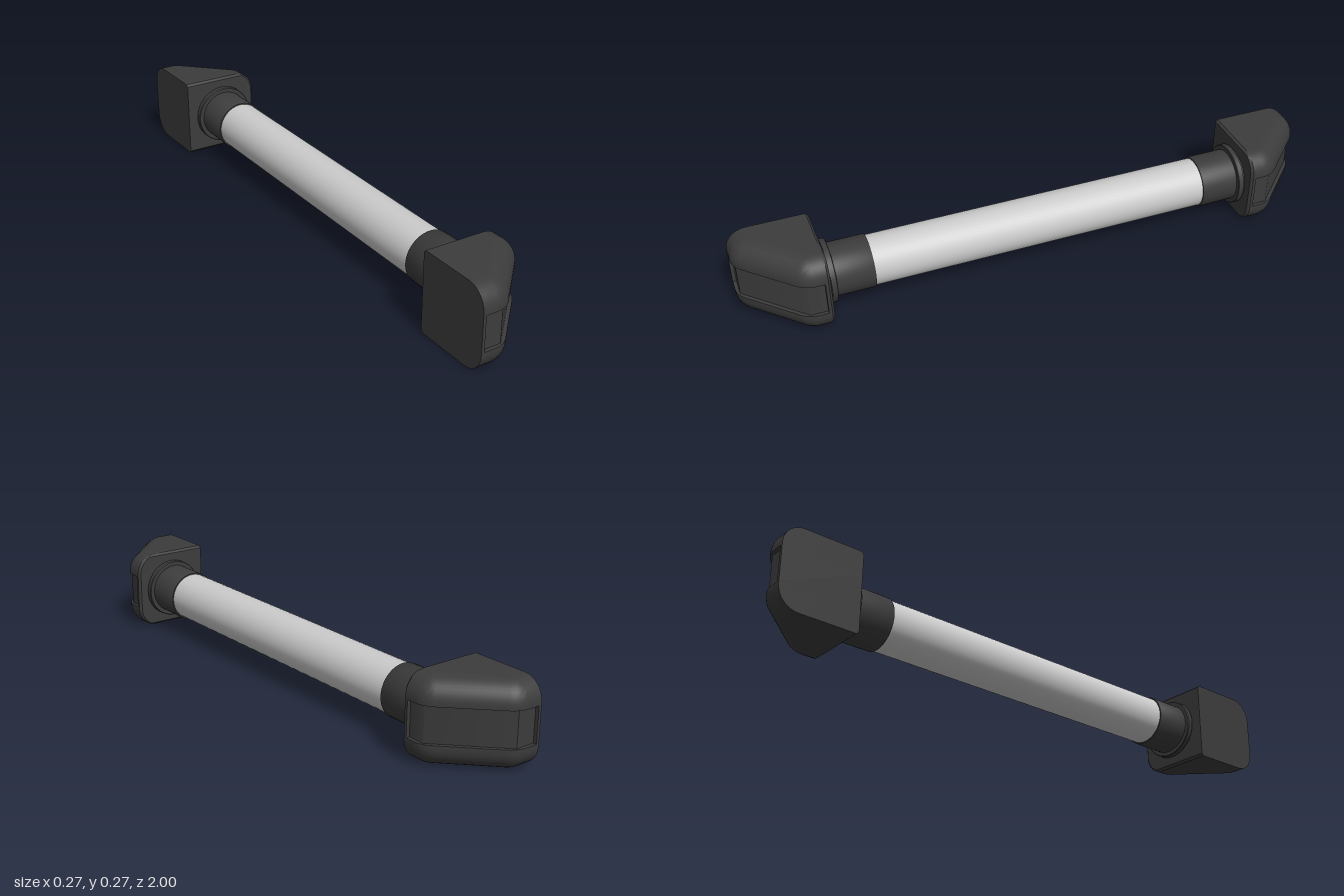
import * as THREE from 'three';
import { toCreasedNormals } from 'three/addons/utils/BufferGeometryUtils.js';

const H = 0.1365;          // half height, also the bar's axis height
const BACK = -0.136, SIDE = 0.136, INNER = 0.73, END = 1, DIAG = 0.945;
const FILLET = 0.07;       // rounding along the outer walls
const EDGE = 0.008;        // small rounding of the inner face
const T = Math.tan(Math.PI / 8);

// Plan outline [x, z]: outer walls inset by d, panel recessed by rec, corners rounded by r
function outline(d, rec, r, edge) {
  const o = d + rec, pts = [];
  pts.push([BACK, INNER + edge], [BACK, END - d], [BACK + 0.01, END - d], [BACK + 0.01, END - o]);
  const corners = [
    [DIAG - END - T * o, END - o, Math.PI / 2],
    [SIDE - o, DIAG - SIDE - T * o, Math.PI / 4],
  ];
  corners.forEach(([x, z, a0], k) => {
    // arc centre lies square to the wall at the tangent point
    const cx = k === 0 ? x - r * T : x - r;
    const cz = k === 0 ? z - r : z - r * T;
    for (let i = 0; i <= 6; i++) {
      const a = a0 - (i / 6) * Math.PI / 4;
      pts.push([cx + r * Math.cos(a), cz + r * Math.sin(a)]);
    }
  });
  pts.push([SIDE - o, INNER + 0.018], [SIDE - d, INNER + 0.018]);
  pts.push([SIDE - d, INNER + EDGE], [SIDE - d - EDGE, INNER + edge]);
  return pts;
}

function bracketGeometry() {
  // Levels from the bottom to the top
  const half = [];
  for (let i = 0; i <= 10; i++) {
    const a = (i / 10) * Math.PI / 2;
    const h = FILLET * (1 - Math.cos(a)), d = FILLET * (1 - Math.sin(a));
    half.push([-H + h, outline(d, 0, Math.max(0.08 - d, 0.01), Math.max(0, EDGE - h))]);
  }
  const plain = outline(0, 0, 0.08, 0), recess = outline(0, 0.012, 0, 0);
  const P = 0.0585;
  const rows = [...half, [-P, plain], [-P, recess], [P, recess], [P, plain],
    ...half.map(([y, o]) => [-y, o]).reverse()]
    .map(([y, o]) => o.map(([x, z]) => new THREE.Vector3(x, y, z)));

  const pos = [], tri = new THREE.Triangle();
  const face = (a, b, c) => {
    tri.set(a, b, c);
    if (tri.getArea() > 1e-9) for (const v of [a, b, c]) pos.push(v.x, v.y, v.z);
  };
  const n = rows[0].length;
  for (let j = 0; j < rows.length - 1; j++) {
    for (let i = 0; i < n; i++) {
      const k = (i + 1) % n;
      face(rows[j][i], rows[j][k], rows[j + 1][k]);
      face(rows[j][i], rows[j + 1][k], rows[j + 1][i]);
    }
  }
  const bottom = rows[0], top = rows[rows.length - 1];
  for (let i = 1; i < n - 1; i++) {
    face(top[0], top[i], top[i + 1]);
    face(bottom[0], bottom[i + 1], bottom[i]);
  }
  const g = new THREE.BufferGeometry();
  g.setAttribute('position', new THREE.Float32BufferAttribute(pos, 3));
  return toCreasedNormals(g, 0.5);
}

// Sleeve with a stepped flange, turned around the bar's axis
function collarGeometry() {
  const profile = [[0.08, 0.578], [0.087, 0.578], [0.088, 0.58], [0.088, 0.705], [0.102, 0.705],
    [0.104, 0.707], [0.104, 0.724], [0.098, 0.724], [0.098, 0.735]];
  const g = new THREE.LatheGeometry(profile.map(([r, z]) => new THREE.Vector2(r, z)), 48);
  g.rotateX(Math.PI / 2);
  return toCreasedNormals(g.toNonIndexed(), 0.5);
}

export function createModel() {
  const model = new THREE.Group();
  model.name = 'grabHandle';
  const grey = new THREE.MeshStandardMaterial({ color: 0xcccccc });
  const dark = new THREE.MeshStandardMaterial({ color: 0x3c3c3c });
  const collarMat = new THREE.MeshStandardMaterial({ color: 0x3c3c3c, side: THREE.DoubleSide });

  // Round grip bar
  const bar = new THREE.Mesh(new THREE.CylinderGeometry(0.083, 0.083, 1.44, 48).rotateX(Math.PI / 2), grey);
  bar.name = 'gripBar';
  bar.position.y = H;
  model.add(bar);

  // Matching ends; the bracket is symmetric in height, so a half turn mirrors it
  const bracketGeo = bracketGeometry(), collarGeo = collarGeometry();
  for (const [name, turn] of [['front', 0], ['rear', Math.PI]]) {
    const end = new THREE.Group();
    end.name = name + 'End';
    const bracket = new THREE.Mesh(bracketGeo, dark);
    bracket.name = name + 'Bracket';
    const collar = new THREE.Mesh(collarGeo, collarMat);
    collar.name = name + 'Collar';
    end.add(bracket, collar);
    end.position.y = H;
    end.rotation.x = turn;
    model.add(end);
  }
  return model;
}
